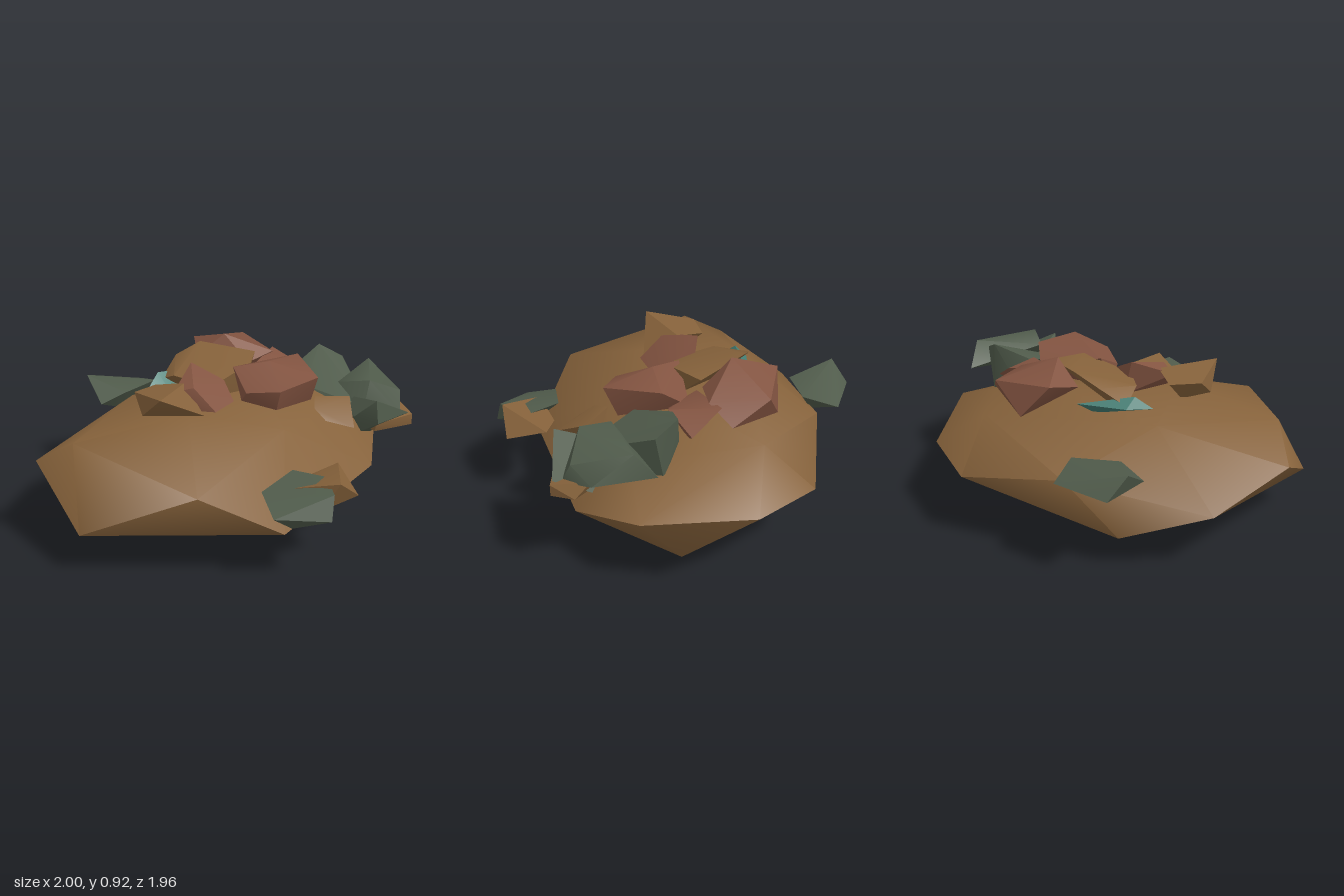
import * as THREE from 'three';
import { toCreasedNormals } from 'three/addons/utils/BufferGeometryUtils.js';
import { ConvexGeometry } from 'three/addons/geometries/ConvexGeometry.js';

const material = (name, color) => {
  const m = new THREE.MeshStandardMaterial({ color });
  m.name = name;
  return m;
};

export function createModel() {
  const group = new THREE.Group();
  const brown = material('brown stone', 0x86623b);
  const red = material('red stone', 0x835441);
  const green = material('grey green stone', 0x505b4b);
  const teal = material('teal stone', 0x437d73);

  // Each stone is the hull of a few corner points, with only gentle edges smoothed
  function stone(name, mat, corners, crease = 0.6) {
    const hull = new ConvexGeometry(corners.map(c => new THREE.Vector3(...c)));
    const mesh = new THREE.Mesh(toCreasedNormals(hull, crease), mat);
    mesh.name = name;
    group.add(mesh);
  }

  // Wide boulder carrying the pile
  stone('boulder', brown, [
    // underside and lower rim
    [-0.32, 0, -0.17], [0.34, 0.02, -0.17], [0.91, 0.18, 0], [-0.19, 0.18, -0.74],
    [-1, 0.24, 0.13], [-0.22, 0.25, 0.77], [0.65, 0.28, 0.52],
    // upper rim
    [1, 0.44, 0.2], [0.92, 0.4, -0.37], [0.65, 0.38, -0.68], [0.08, 0.48, -0.77],
    [-0.65, 0.33, -0.68], [-0.96, 0.47, -0.33], [-0.62, 0.5, 0.59],
    // crown
    [-0.87, 0.62, -0.1], [-0.3, 0.69, 0.1], [0.35, 0.68, -0.1], [0.68, 0.62, -0.1],
    [-0.3, 0.65, -0.4], [0.61, 0.62, -0.42], [0.1, 0.6, 0.4], [0.6, 0.56, 0.25],
  ], 1.05);

  // Stones stuck to the back and front rims
  stone('backStone', green, [
    [-0.2, 0.51, -0.98], [0.09, 0.52, -0.88], [0.06, 0.57, -0.69], [-0.18, 0.56, -0.65],
    [-0.31, 0.5, -0.71], [-0.28, 0.62, -0.9], [-0.1, 0.41, -0.76],
  ]);
  stone('frontGreenStone', green, [
    [-0.35, 0.4, 0.83], [-0.28, 0.46, 0.66], [-0.05, 0.5, 0.63], [0.04, 0.49, 0.78],
    [-0.07, 0.49, 0.95], [-0.11, 0.37, 0.98], [-0.2, 0.29, 0.8],
  ]);
  stone('frontBrownStone', brown, [
    [0.22, 0.48, 0.68], [0.15, 0.4, 0.9], [-0.01, 0.52, 0.93], [-0.05, 0.36, 0.85],
    [-0.17, 0.475, 0.74], [0.05, 0.45, 0.65],
  ]);

  // Stones on the crown
  stone('rightBrownStone', brown, [
    [-0.5, 0.83, 0.14], [-0.5, 0.7, -0.02], [-0.47, 0.79, -0.13], [-0.31, 0.78, -0.17],
    [-0.22, 0.81, -0.03], [-0.24, 0.69, 0.16], [-0.35, 0.66, -0.05],
  ]);
  stone('rightRedStone', red, [
    [-0.3, 0.78, -0.02], [-0.1, 0.87, -0.13], [0.02, 0.78, 0], [-0.01, 0.7, 0.12],
    [-0.18, 0.7, 0.18], [-0.23, 0.81, 0.06], [-0.05, 0.67, -0.1], [-0.25, 0.69, 0.06],
  ]);
  stone('middleBrownStone', brown, [
    [-0.15, 0.78, -0.22], [-0.13, 0.72, -0.36], [0, 0.82, -0.4], [0.14, 0.88, -0.36],
    [0.34, 0.84, -0.12], [0.2, 0.84, 0.01], [-0.06, 0.76, 0], [0, 0.66, -0.2],
    [0.02, 0.68, -0.02], [0.18, 0.68, -0.02],
  ]);
  stone('tealStone', teal, [
    [-0.26, 0.7, -0.31], [-0.14, 0.72, -0.4], [0.12, 0.72, -0.39], [-0.15, 0.66, -0.23],
    [-0.17, 0.77, -0.34], [0.05, 0.64, -0.3],
  ]);
  stone('backRedStone', red, [
    [0.22, 0.85, -0.52], [0.38, 0.67, -0.51], [0.53, 0.83, -0.45], [0.61, 0.72, -0.26],
    [0.5, 0.8, -0.15], [0.3, 0.78, -0.13], [0.25, 0.92, -0.28], [0.12, 0.8, -0.36],
    [0.35, 0.63, -0.25],
  ]);
  stone('leftRedStone', red, [
    [0.33, 0.78, -0.1], [0.55, 0.8, -0.21], [0.66, 0.7, -0.06], [0.5, 0.77, 0.05],
    [0.35, 0.7, 0.04], [0.5, 0.6, -0.05],
  ]);
  stone('frontRedStone', red, [
    [0.05, 0.74, 0.15], [0.1, 0.83, -0.02], [0.15, 0.77, 0.31], [0.36, 0.82, 0.37],
    [0.48, 0.85, 0.08], [0.42, 0.74, -0.06], [0.24, 0.87, 0.12], [0.15, 0.66, 0.28],
    [0.38, 0.67, 0.3], [0.2, 0.63, 0.1], [0.06, 0.68, 0.1],
  ]);

  // Cluster on the front left shoulder
  stone('upperGreenStone', green, [
    [0.41, 0.72, 0.22], [0.5, 0.76, 0.03], [0.71, 0.84, 0.01], [0.79, 0.78, 0.12],
    [0.62, 0.62, 0.5], [0.5, 0.65, 0.35], [0.75, 0.53, 0.08], [0.6, 0.65, 0],
  ]);
  stone('outerGreenStone', green, [
    [0.9, 0.77, 0.22], [0.94, 0.62, 0.42], [0.8, 0.56, 0.57], [0.55, 0.74, 0.33],
    [0.64, 0.77, 0.48], [0.9, 0.64, 0.11], [0.6, 0.6, 0.48], [0.84, 0.68, 0.52],
  ], 0.8);
  stone('lowerGreenStone', green, [
    [0.51, 0.6, 0.5], [0.56, 0.71, 0.61], [0.57, 0.58, 0.62], [0.82, 0.58, 0.61],
    [0.88, 0.55, 0.42], [0.57, 0.5, 0.5], [0.64, 0.48, 0.5], [0.6, 0.65, 0.3],
  ]);
  stone('lowerBrownStone', brown, [
    [0.58, 0.57, 0.6], [0.59, 0.52, 0.58], [0.84, 0.51, 0.62], [0.92, 0.54, 0.5],
    [0.89, 0.62, 0.42], [0.65, 0.52, 0.3], [0.84, 0.57, 0.62],
  ]);
  stone('smallBrownStone', brown, [
    [0.29, 0.68, 0.42], [0.36, 0.71, 0.35], [0.52, 0.7, 0.45], [0.4, 0.6, 0.61],
    [0.3, 0.63, 0.5], [0.45, 0.55, 0.4],
  ]);

  return group;
}
